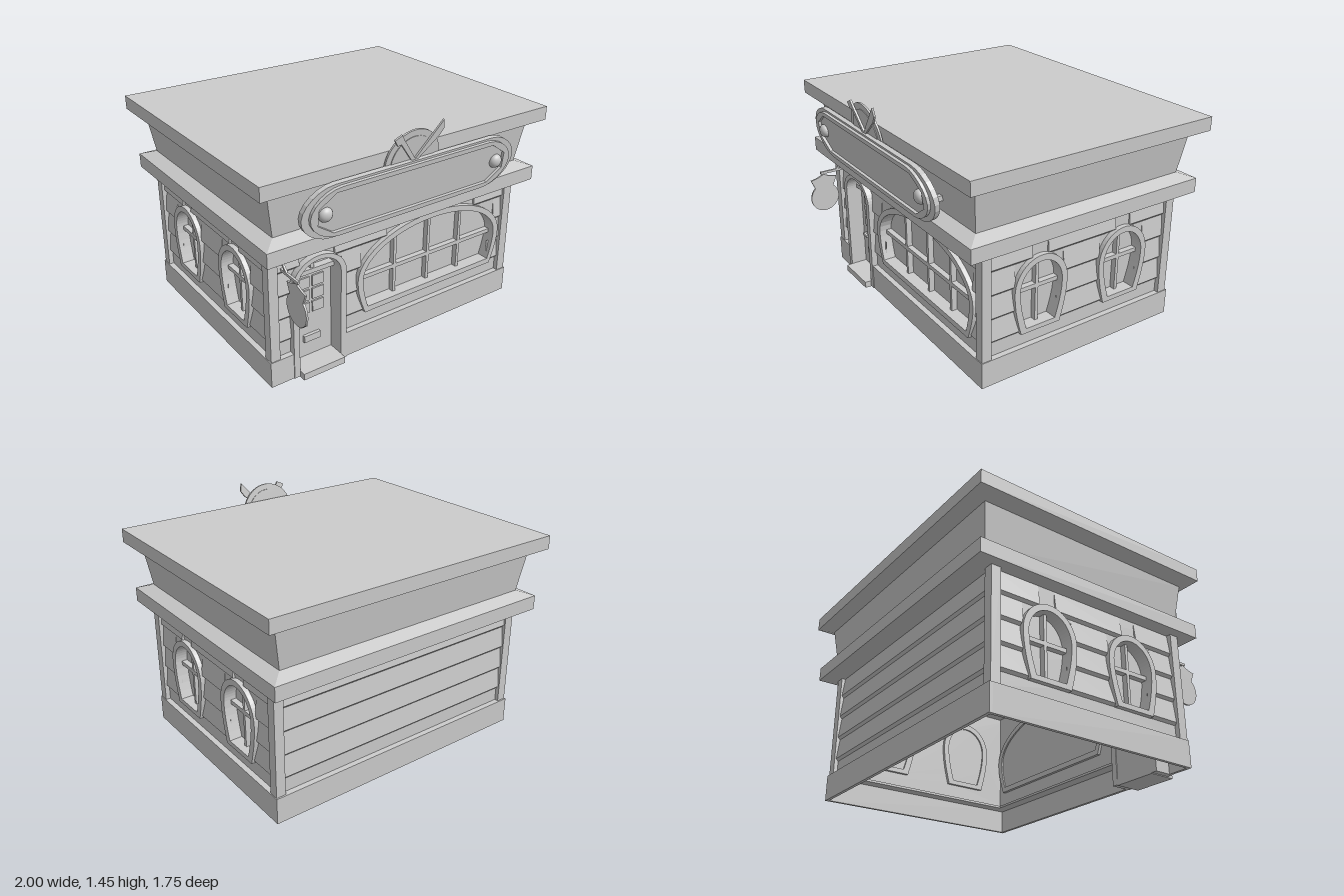
import * as THREE from 'three';

const mat = new THREE.MeshStandardMaterial({ color: 0xcccccc, side: THREE.DoubleSide, flatShading: true });
const smooth = new THREE.MeshStandardMaterial({ color: 0xcccccc });

function add(parent, name, geo, x = 0, y = 0, z = 0, m = mat) {
  const mesh = new THREE.Mesh(geo, m);
  mesh.name = name;
  mesh.position.set(x, y, z);
  parent.add(mesh);
  return mesh;
}

// Box given by its limits
const box = (parent, name, x0, x1, y0, y1, z0, z1) =>
  add(parent, name, new THREE.BoxGeometry(x1 - x0, y1 - y0, z1 - z0), (x0 + x1) / 2, (y0 + y1) / 2, (z0 + z1) / 2);

const extrude = (shape, depth) => new THREE.ExtrudeGeometry(shape, { depth, bevelEnabled: false });
const poly = pts => new THREE.Shape(pts.map(p => new THREE.Vector2(p[0], p[1])));

function group(parent, name, x = 0, y = 0, z = 0) {
  const g = new THREE.Group();
  g.name = name;
  g.position.set(x, y, z);
  parent.add(g);
  return g;
}

// Arched opening: wb/wm half widths at bottom and spring line, yb/ym/yt heights
const halfWidth = (o, y) => y < o.ym
  ? o.wb + (o.wm - o.wb) * Math.sin((y - o.yb) / (o.ym - o.yb) * Math.PI / 2)
  : o.wm * Math.sqrt(Math.max(0, 1 - ((y - o.ym) / (o.yt - o.ym)) ** 2));
const archTop = (o, x) => o.ym + (o.yt - o.ym) * Math.sqrt(1 - (x / o.wm) ** 2);

function outline(o, cx = 0) {
  const right = [];
  for (let i = 0; i <= 5; i++) {
    const y = o.yb + (o.ym - o.yb) * i / 5;
    right.push([halfWidth(o, y), y]);
  }
  for (let i = 1; i <= 12; i++) {
    const a = i / 12 * Math.PI / 2;
    right.push([o.wm * Math.cos(a), o.ym + (o.yt - o.ym) * Math.sin(a)]);
  }
  const left = right.slice(0, -1).reverse().map(([x, y]) => [-x, y]);
  return [...right, ...left].map(([x, y]) => [x + cx, y]);
}

function ring(outer, inner, depth) {
  const s = poly(outer);
  s.holes.push(poly(inner));
  return extrude(s, depth);
}

// Window: deep frame, recessed glass and glazing bars
function addWindow(parent, cx, o, i, barXs, barY) {
  const g = group(parent, 'window', cx);
  add(g, 'windowFrame', ring(outline(o), outline(i), 0.1), 0, 0, -0.07);
  add(g, 'windowGlass', extrude(poly(outline(i)), 0.01), 0, 0, -0.06);
  for (const x of barXs) box(g, 'verticalBar', x - 0.01, x + 0.01, i.yb, archTop(i, x), -0.05, -0.015);
  const w = halfWidth(i, barY);
  box(g, 'crossBar', -w, w, barY - 0.013, barY + 0.013, -0.05, -0.015);
}

// Lapped boards between the openings; openings = [{cx, o}] sorted by x
function addBoards(parent, x0, x1, openings) {
  for (const y of [0.265, 0.412, 0.56, 0.708]) {
    const h = y > 0.7 ? 0.13 : 0.14;
    let start = x0;
    const spans = [];
    for (const { cx, o } of openings) {
      const w = halfWidth(o, y) - 0.012;
      spans.push([start, cx - w]);
      start = cx + w;
    }
    spans.push([start, x1]);
    for (const [a, b] of spans) {
      const geo = extrude(poly([[0, -0.008], [0.015, 0.008], [0, h]]), b - a);
      geo.rotateY(-Math.PI / 2);
      geo.scale(-1, 1, 1);
      geo.rotateY(0);
      geo.translate(a, y, 0);
      // Restore the corner order after the mirroring
      const p = geo.attributes.position;
      for (let k = 0; k < p.count; k += 3) {
        const v = [p.getX(k), p.getY(k), p.getZ(k)];
        p.setXYZ(k, p.getX(k + 1), p.getY(k + 1), p.getZ(k + 1));
        p.setXYZ(k + 1, ...v);
      }
      geo.computeVertexNormals();
      add(parent, 'wallBoard', geo);
    }
  }
}

// Closed body from rectangular rings [y, halfX, zFront, zBack]
function loft(rings) {
  const pos = rings.flatMap(([y, x, f, b]) => [-x, y, f, x, y, f, x, y, b, -x, y, b]);
  const idx = [0, 2, 1, 0, 3, 2];
  for (let r = 0; r < rings.length - 1; r++) for (let k = 0; k < 4; k++) {
    const a = r * 4 + k, b = r * 4 + (k + 1) % 4;
    idx.push(a, b, b + 4, a, b + 4, a + 4);
  }
  const t = (rings.length - 1) * 4;
  idx.push(t, t + 1, t + 2, t, t + 2, t + 3);
  const geo = new THREE.BufferGeometry();
  geo.setAttribute('position', new THREE.Float32BufferAttribute(pos, 3));
  geo.setIndex(idx);
  const flat = geo.toNonIndexed();
  flat.computeVertexNormals();
  return flat;
}

export function createModel() {
  const shop = new THREE.Group();
  shop.name = 'shop';

  // Cornice, flared frieze and flat roof
  add(shop, 'roof', loft([[0.84, 0.96, 0.755, -0.84], [0.93, 0.96, 0.755, -0.84], [0.96, 0.875, 0.67, -0.755],
    [1.205, 0.915, 0.7, -0.785], [1.235, 1, 0.78, -0.87], [1.32, 1, 0.78, -0.87]]));

  // Hollow plinth with a ledge, open at the door
  for (const [a, b] of [[-0.905, -0.755], [-0.395, 0.905]]) {
    box(shop, 'plinthFront', a, b, 0.005, 0.17, 0.635, 0.655);
    box(shop, 'plinthLedge', a, b, 0.155, 0.17, 0.56, 0.635);
  }
  box(shop, 'plinthBack', -0.905, 0.905, 0.005, 0.17, -0.74, -0.72);
  box(shop, 'plinthLedge', -0.885, 0.885, 0.155, 0.17, -0.72, -0.64);
  for (const s of [-1, 1]) {
    const e = (a, b) => s > 0 ? [a, b] : [-b, -a];
    box(shop, 'plinthSide', ...e(0.885, 0.905), 0.005, 0.17, -0.72, 0.635);
    box(shop, 'plinthLedge', ...e(0.81, 0.885), 0.155, 0.17, -0.64, 0.56);
    for (const z of [0.59, -0.73]) box(shop, 'cornerPost', ...e(0.84, 0.9), 0.17, 0.84, z, z + 0.06);
  }

  // Front wall with shop window and door opening
  const front = group(shop, 'frontWall', 0, 0, 0.62);
  const bigOuter = { wb: 0.505, wm: 0.56, yb: 0.255, ym: 0.48, yt: 0.775 };
  const bigInner = { wb: 0.485, wm: 0.522, yb: 0.29, ym: 0.48, yt: 0.738 };
  const doorOuter = { wb: 0.18, wm: 0.18, yb: 0.005, ym: 0.6, yt: 0.755 };
  const doorInner = { wb: 0.142, wm: 0.142, yb: 0.005, ym: 0.61, yt: 0.728 };
  const doorX = -0.575, bigX = 0.253;
  const doorHole = outline({ ...doorInner, wb: 0.16, wm: 0.16, yb: 0.17, yt: 0.74 }, doorX);
  // The outline runs round the doorway from its right foot to its left foot
  const frontShape = poly([[0.87, 0.17], [0.87, 0.84], [-0.87, 0.84], [-0.87, 0.17], ...doorHole.reverse()]);
  frontShape.holes.push(poly(outline({ ...bigInner, wb: 0.495, wm: 0.54, yb: 0.275, yt: 0.755 }, bigX)));
  add(front, 'wallPanel', extrude(frontShape, 0.05), 0, 0, -0.05);
  addBoards(front, -0.85, 0.85, [{ cx: doorX, o: doorOuter }, { cx: bigX, o: bigOuter }]);
  addWindow(front, bigX, bigOuter, bigInner, [-0.255, 0.005, 0.258], 0.467);

  // Door with arched fanlight, panels, letter plate, handle and step
  const door = group(front, 'door', doorX);
  add(door, 'doorFrame', ring(outline(doorOuter), outline({ ...doorInner, yb: 0.04 }), 0.13), 0, 0, -0.09);
  box(door, 'doorLeaf', -0.142, 0.142, 0.04, 0.615, -0.085, -0.065);
  box(door, 'transom', -0.142, 0.142, 0.61, 0.638, -0.085, -0.03);
  add(door, 'fanlightGlass', extrude(poly(outline({ ...doorInner, yb: 0.6 })), 0.01), 0, 0, -0.085);
  box(door, 'fanlightBar', -0.012, 0.012, 0.63, 0.726, -0.08, -0.04);
  for (const x of [-0.048, 0.048]) for (const y of [0.37, 0.455, 0.54])
    box(door, 'doorPanel', x - 0.038, x + 0.038, y - 0.034, y + 0.034, -0.065, -0.055);
  box(door, 'letterPlate', -0.055, 0.055, 0.147, 0.19, -0.065, -0.045);
  box(door, 'handle', -0.095, -0.04, 0.265, 0.282, -0.05, -0.035);
  box(door, 'handleStem', -0.095, -0.08, 0.265, 0.282, -0.065, -0.05);
  box(door, 'doorStep', -0.142, 0.142, 0, 0.042, -0.09, 0.08);

  // Back wall
  const back = group(shop, 'backWall', 0, 0, -0.705);
  back.rotation.y = Math.PI;
  box(back, 'wallPanel', -0.87, 0.87, 0.17, 0.84, -0.05, 0);
  addBoards(back, -0.85, 0.85, []);

  // Side walls with two windows each
  const outer = { wb: 0.135, wm: 0.182, yb: 0.255, ym: 0.525, yt: 0.722 };
  const inner = { wb: 0.1, wm: 0.145, yb: 0.285, ym: 0.525, yt: 0.685 };
  const hole = { wb: 0.118, wm: 0.163, yb: 0.27, ym: 0.525, yt: 0.703 };
  for (const s of [-1, 1]) {
    const side = group(shop, s > 0 ? 'leftWall' : 'rightWall', s * 0.87);
    side.rotation.y = s * Math.PI / 2;
    const lx = z => -s * z;
    const ends = [lx(0.62), lx(-0.7)].sort((a, b) => a - b);
    const shape = poly([[ends[0], 0.17], [ends[1], 0.17], [ends[1], 0.84], [ends[0], 0.84]]);
    const centres = [lx(0.253), lx(-0.345)].sort((a, b) => a - b);
    for (const c of centres) {
      shape.holes.push(poly(outline(hole, c)));
      addWindow(side, c, outer, inner, [0], 0.51);
    }
    add(side, 'wallPanel', extrude(shape, 0.05), 0, 0, -0.05);
    addBoards(side, ends[0] + 0.02, ends[1] - 0.02, centres.map(cx => ({ cx, o: outer })));
  }

  // Tilted sign board with raised rim, knobs and struts
  const sign = group(shop, 'signBoard', -0.04, 1.083, 0.8);
  sign.rotation.x = 0.13;
  const plaque = (w, h, c) => {
    const s = new THREE.Shape();
    s.moveTo(-w + c, -h).lineTo(w - c, -h);
    s.bezierCurveTo(w - c * 0.5, -h, w, -h * 0.5, w, 0).bezierCurveTo(w, h * 0.5, w - c * 0.5, h, w - c, h);
    s.lineTo(-w + c, h).bezierCurveTo(-w + c * 0.5, h, -w, h * 0.5, -w, 0);
    s.bezierCurveTo(-w, -h * 0.5, -w + c * 0.5, -h, -w + c, -h);
    return s.getPoints(6).slice(0, -1).map(p => [p.x, p.y]);
  };
  const field = [[-0.545, -0.122], [0.545, -0.122], [0.65, -0.05], [0.65, 0.05], [0.545, 0.122], [-0.545, 0.122], [-0.65, 0.05], [-0.65, -0.05]];
  add(sign, 'signBack', extrude(poly(plaque(0.745, 0.163, 0.2)), 0.03), 0, 0, -0.025);
  add(sign, 'signRim', ring(plaque(0.7, 0.15, 0.19), field, 0.018), 0, 0, 0.005);
  for (const x of [-0.6, 0.6]) {
    const knob = add(sign, 'signKnob', new THREE.SphereGeometry(0.042, 20, 14), x, 0, 0.01, smooth);
    knob.scale.z = 0.75;
    box(shop, 'signStrut', x - 0.055, x - 0.025, 1.03, 1.06, 0.66, 0.78);
  }

  // Half plate with crossed cutlery above the sign
  const emblem = group(shop, 'plateEmblem', -0.065, 1.235, 0.785);
  emblem.rotation.x = 0.13;
  const disc = r => new THREE.Shape().absarc(0, 0, r, 0, Math.PI, false);
  add(emblem, 'plate', extrude(disc(0.187), 0.012));
  add(emblem, 'plateCentre', extrude(disc(0.15), 0.02), 0, 0, -0.004);
  add(emblem, 'knife', extrude(poly([[-0.01, 0], [0.01, 0], [0.16, 0.125], [0.188, 0.165], [0.178, 0.215], [0.125, 0.155]]), 0.012), 0, 0, 0.016);
  add(emblem, 'fork', extrude(poly([[-0.012, 0.005], [0.012, 0.012], [-0.088, 0.155], [-0.105, 0.185], [-0.152, 0.163], [-0.128, 0.125], [-0.105, 0.13]]), 0.012), 0, 0, 0.016);

  // Hanging shield beside the door
  const hanger = group(shop, 'hangingSign', -0.805);
  box(hanger, 'bracketArm', -0.007, 0.007, 0.722, 0.738, 0.62, 0.8);
  const brace = box(hanger, 'bracketBrace', -0.006, 0.006, 0.715, 0.79, 0.662, 0.674);
  brace.rotation.x = -0.75;
  box(hanger, 'hangerLink', -0.004, 0.004, 0.69, 0.725, 0.775, 0.785);
  const shield = new THREE.Shape();
  shield.moveTo(0.065, 0.075).lineTo(0.09, 0.135).quadraticCurveTo(0.04, 0.14, 0, 0.165);
  shield.quadraticCurveTo(-0.04, 0.14, -0.09, 0.135).lineTo(-0.065, 0.075);
  shield.absarc(0, 0, 0.097, Math.PI * 0.73, Math.PI * 2.27, false);
  const shieldMesh = add(hanger, 'shield', extrude(shield, 0.012), -0.006, 0.556, 0.782);
  shieldMesh.rotation.y = Math.PI / 2;

  return shop;
}
